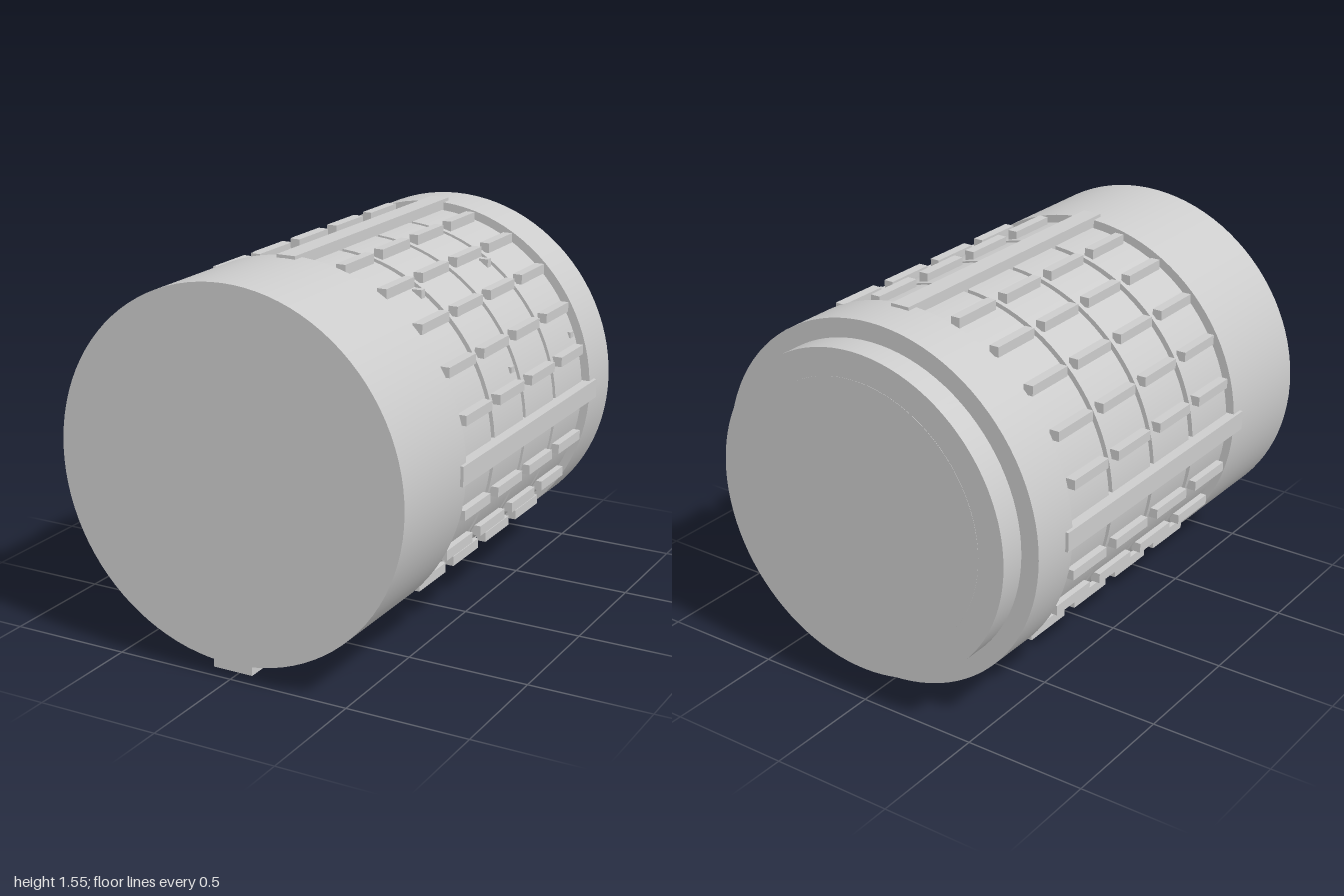
import * as THREE from 'three';

const CY = 0.8; // height of the drum axis

export function createModel() {
  const group = new THREE.Group();
  const grey = new THREE.MeshStandardMaterial({ color: 0xcccccc });
  grey.name = 'plain grey';

  // Cylinder lying along z between two depths
  function drum(name, radius, z0, z1) {
    const geo = new THREE.CylinderGeometry(radius, radius, z1 - z0, 96).rotateX(Math.PI / 2);
    const mesh = new THREE.Mesh(geo, grey);
    mesh.position.set(0, CY, (z0 + z1) / 2);
    mesh.name = name;
    group.add(mesh);
  }

  // Box given by its extents
  function block(name, x0, x1, y0, y1, z0, z1) {
    const mesh = new THREE.Mesh(new THREE.BoxGeometry(x1 - x0, y1 - y0, z1 - z0), grey);
    mesh.position.set((x0 + x1) / 2, (y0 + y1) / 2, (z0 + z1) / 2);
    mesh.name = name;
    group.add(mesh);
  }

  // Main body
  drum('frontCap', 0.735, 0.51, 1);
  drum('backCollar', 0.735, -0.89, -0.675);
  drum('backPlate', 0.66, -0.999, -0.885);
  drum('core', 0.55, -1, 0.52);

  // Four bands, each ringed by upright grip blocks except under the rails
  const bands = [[0.23, 0.5], [-0.065, 0.2], [-0.36, -0.09], [-0.66, -0.385]];
  const gripCentres = [0.363, 0.068, -0.228, -0.522];
  const h = 0.02;
  bands.forEach(([z0, z1], b) => {
    drum('band', 0.705, z0, z1);
    for (let i = 0; i < 24; i++) {
      if (i === 0 || i === 6 || i === 18) continue;
      const a = (i * Math.PI) / 12;
      const x = 0.72 * Math.sin(a), y = CY + 0.72 * Math.cos(a), z = gripCentres[b];
      block('gripBlock', x - h, x + h, y - h, y + h, z - 0.112, z + 0.112);
    }
  });

  // Long rails on the top and both sides
  block('topRail', -0.04, 0.04, CY + 0.67, CY + 0.747, -0.72, 0.56);
  for (const s of [-1, 1]) {
    const xs = [s * 0.67, s * 0.747].sort((p, q) => p - q);
    block('sideRail', xs[0], xs[1], CY - 0.04, CY + 0.04, -0.72, 0.56);
  }

  // Small index tabs on the left side
  for (const z of [0.24, -0.345]) block('upperTab', 0.38, 0.42, 1.365, 1.4, z, z + 0.03);
  for (const z of [-0.045, -0.635]) block('lowerTab', 0.64, 0.67, 1.035, 1.06, z, z + 0.03);

  // Stepped foot under the front cap
  block('footPlate', -0.085, 0.085, 0.025, 0.09, 0.64, 0.98);
  block('footStud', -0.045, 0.045, 0, 0.075, 0.59, 0.83);

  return group;
}
